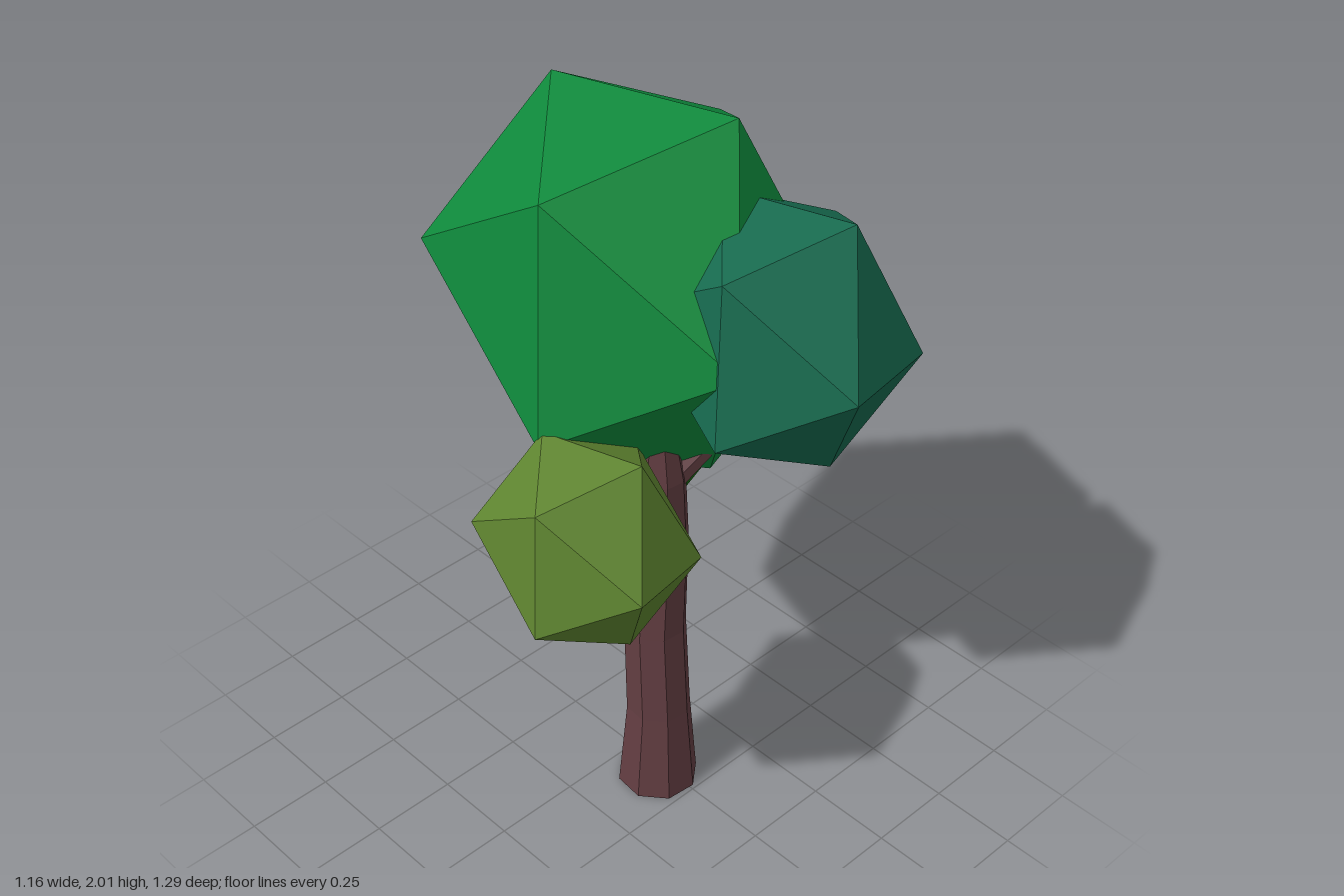
import * as THREE from 'three';
import { ConvexGeometry } from 'three/addons/geometries/ConvexGeometry.js';

const material = (color) => new THREE.MeshStandardMaterial({ color, flatShading: true });

// Twenty-sided crown: two poles and two opposed rings of five, tilted backwards.
function crownGeometry() {
  const points = [new THREE.Vector3(0, 0.553, 0)];
  for (let i = 0; i < 5; i++) {
    const a = (i * Math.PI * 2) / 5;
    points.push(new THREE.Vector3(0.468 * Math.cos(a), 0.285, 0.465 * Math.sin(a)));
  }
  const opposite = points.map((p) => p.clone().negate());
  return new ConvexGeometry([...points, ...opposite]).rotateX(-0.565);
}

// Trunk: an eight-sided cylinder whose rows follow [y, x, z, radius], bottom to top.
function trunkGeometry(rows) {
  const last = rows.length - 1;
  const geometry = new THREE.CylinderGeometry(1, 1, last, 8, last, false, 0.3);
  const pos = geometry.attributes.position;
  for (let i = 0; i < pos.count; i++) {
    const [y, x, z, r] = rows[Math.round(pos.getY(i) + last / 2)];
    pos.setXYZ(i, x + pos.getX(i) * r, y, z + pos.getZ(i) * r);
  }
  return geometry;
}

// Tapered branch between two points.
function branch(name, from, to, r0, r1, mat) {
  const a = new THREE.Vector3(...from);
  const dir = new THREE.Vector3(...to).sub(a);
  const length = dir.length();
  const geometry = new THREE.CylinderGeometry(r1, r0, length, 8).translate(0, length / 2, 0);
  const mesh = new THREE.Mesh(geometry, mat);
  mesh.name = name;
  mesh.position.copy(a);
  mesh.quaternion.setFromUnitVectors(new THREE.Vector3(0, 1, 0), dir.normalize());
  return mesh;
}

export function createModel() {
  const tree = new THREE.Group();
  tree.name = 'tree';
  const bark = material(0x633e42);

  // Trunk, flared at the foot and slightly bent
  const trunk = new THREE.Mesh(trunkGeometry([
    [0, -0.022, 0.128, 0.116],
    [0.28, -0.022, 0.128, 0.092],
    [0.57, -0.022, 0.112, 0.088],
    [0.85, -0.012, 0.115, 0.082],
    [1.08, -0.015, 0.118, 0.07],
    [1.21, -0.022, 0.12, 0.05],
  ]), bark);
  trunk.name = 'trunk';
  tree.add(trunk);

  // Branches reaching into the smaller crowns
  tree.add(
    branch('frontBranch', [0.01, 1.05, 0.12], [0.14, 1.24, 0.22], 0.045, 0.035, bark),
    branch('rightBranch', [-0.04, 0.92, 0.13], [-0.18, 1.04, 0.18], 0.036, 0.026, bark),
    branch('leftBranch', [0.04, 0.77, 0.09], [0.13, 0.91, -0.01], 0.032, 0.02, bark),
  );

  // Crowns: name, centre, scale, color
  const geometry = crownGeometry();
  const crowns = [
    ['mainCrown', [0.112, 1.53, -0.12], 1, 0x0f8a3c],
    ['frontCrown', [0.227, 1.5, 0.283], 0.685, 0x176b4f],
    ['rightCrown', [-0.335, 1.08, 0.185], 0.533, 0x5f8530],
    ['leftCrown', [0.137, 0.965, -0.068], 0.272, 0x1a6b14],
  ];
  for (const [name, centre, scale, color] of crowns) {
    const crown = new THREE.Mesh(geometry, material(color));
    crown.name = name;
    crown.position.set(...centre);
    crown.scale.setScalar(scale);
    tree.add(crown);
  }
  return tree;
}
